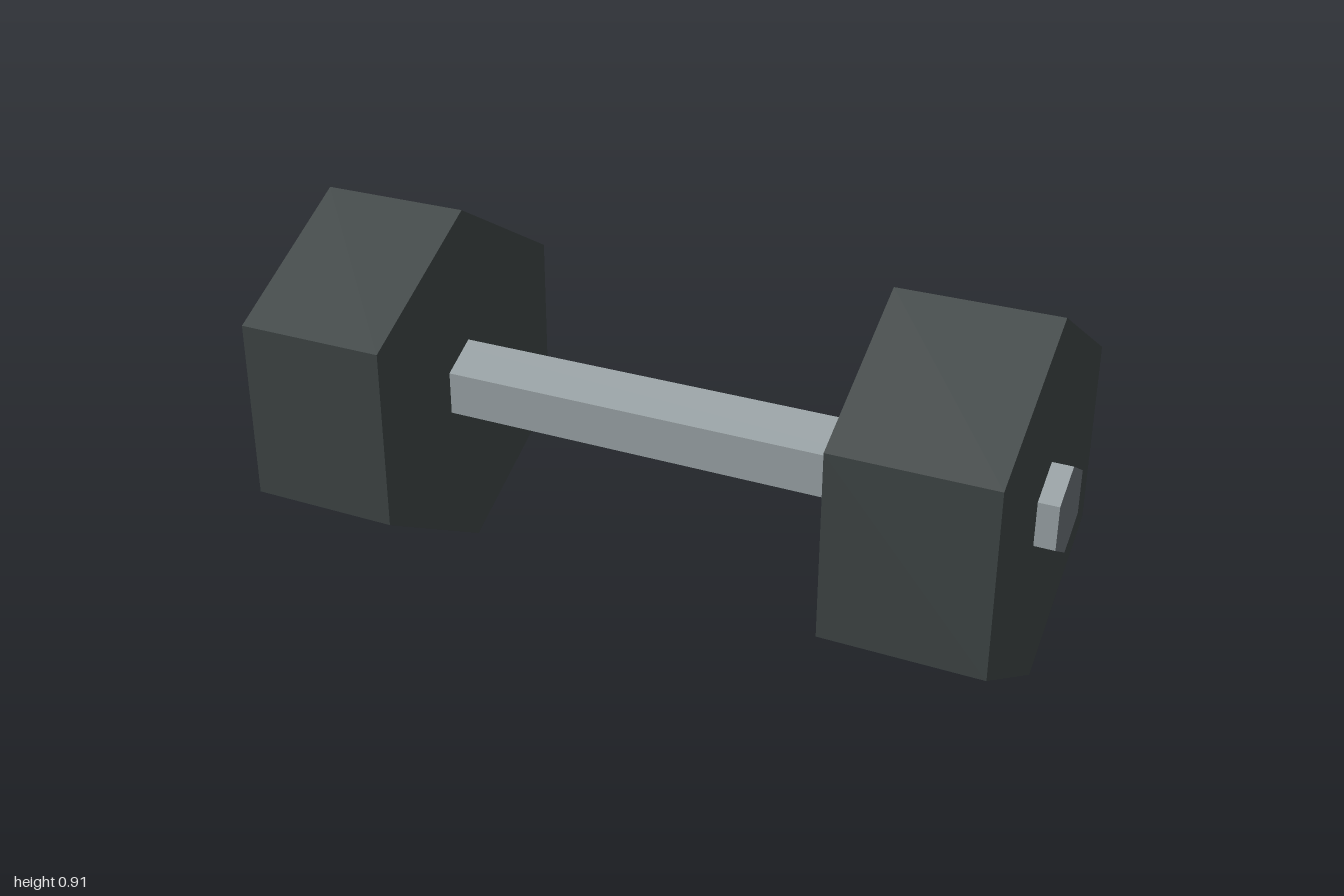
import * as THREE from 'three';

const AXIS_Y = 0.457;

// Hexagonal prism lying along x, with a corner pointing up
function hexPrism(radius, length) {
  const geometry = new THREE.CylinderGeometry(radius, radius, length, 6, 1, false, Math.PI / 6);
  geometry.rotateZ(Math.PI / 2);
  return geometry;
}

export function createModel() {
  const rubber = new THREE.MeshStandardMaterial({ color: 0x394040, flatShading: true });
  const steel = new THREE.MeshStandardMaterial({ color: 0x8f989b, flatShading: true });
  const darkSteel = new THREE.MeshStandardMaterial({ color: 0x646a6f, flatShading: true });
  rubber.name = 'darkRubber';
  steel.name = 'steel';
  darkSteel.name = 'darkSteel';

  const model = new THREE.Group();
  model.name = 'dumbbell';
  const add = (name, geometry, material, x) => {
    const mesh = new THREE.Mesh(geometry, material);
    mesh.name = name;
    mesh.position.set(x, AXIS_Y, 0);
    model.add(mesh);
  };

  // Bar running through both weights, with darker end faces
  add('handle', hexPrism(0.11, 2), [steel, darkSteel, darkSteel], 0);

  // Weights
  for (const [side, sign] of [['left', 1], ['right', -1]]) {
    add(side + 'Weight', hexPrism(0.457, 0.39), rubber, sign * 0.755);
  }
  return model;
}
